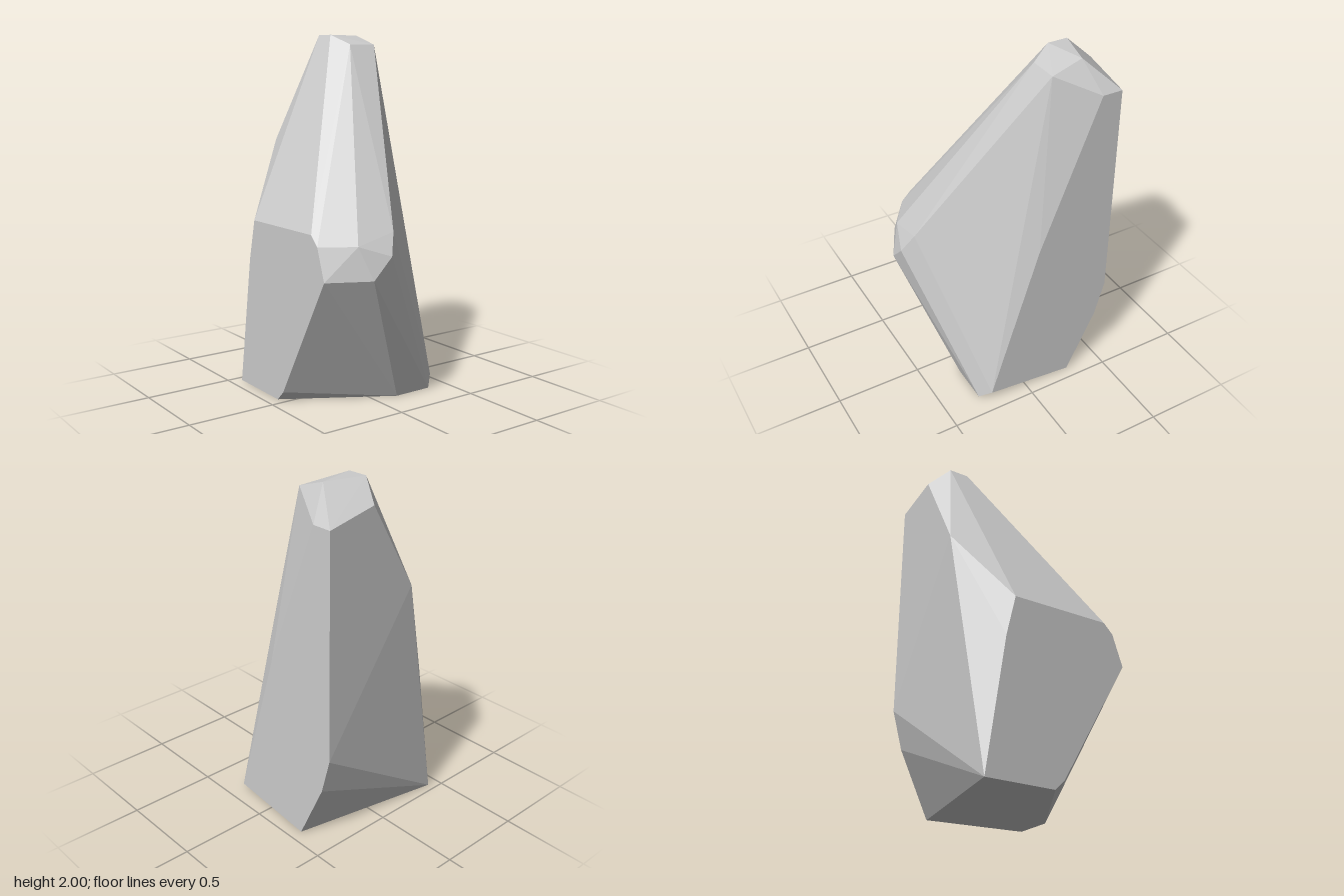
import * as THREE from 'three';
import { ConvexGeometry } from 'three/addons/geometries/ConvexGeometry.js';

export function createModel() {
  const group = new THREE.Group();
  group.name = 'rock';

  // Corners of the faceted boulder, grouped by the region they bound
  const peak = [
    [-0.4, 2, -0.09], [-0.285, 2, -0.09], [-0.34, 2, -0.315],
    [-0.17, 1.945, -0.145], [-0.17, 1.945, -0.315],
    [-0.515, 1.89, -0.145], [-0.515, 1.83, -0.43], [-0.4, 1.83, -0.43],
  ];
  const frontFace = [
    [-0.285, 0.975, 0.43], [0.285, 0.975, 0.43], [0.34, 0.92, 0.43],
    [0.4, 0.745, 0.43], [0, 0.057, 0.43], [-0.34, 0.745, 0.43],
  ];
  const leftBulge = [
    [0.455, 0.92, 0.257], [0.455, 0.975, 0.03],
    [0.515, 0.86, 0.085], [0.515, 0.745, 0.2],
  ];
  const rightAndBack = [
    [-0.515, 1.4, 0.14], [-0.515, 0.57, -0.43], [-0.457, 0.36, -0.43],
    [-0.06, 0.975, -0.43], [0.23, 0.057, -0.43],
  ];
  const base = [
    [-0.457, 0, 0.43], [-0.057, 0, 0.43], [0.285, 0, -0.14],
    [0.285, 0, -0.37], [-0.285, 0, -0.43],
  ];

  const corners = [...peak, ...frontFace, ...leftBulge, ...rightAndBack, ...base]
    .map((p) => new THREE.Vector3(...p));
  const boulder = new THREE.Mesh(
    new ConvexGeometry(corners),
    new THREE.MeshStandardMaterial({ color: 0xcccccc, flatShading: true }),
  );
  boulder.name = 'boulder';
  group.add(boulder);
  return group;
}
